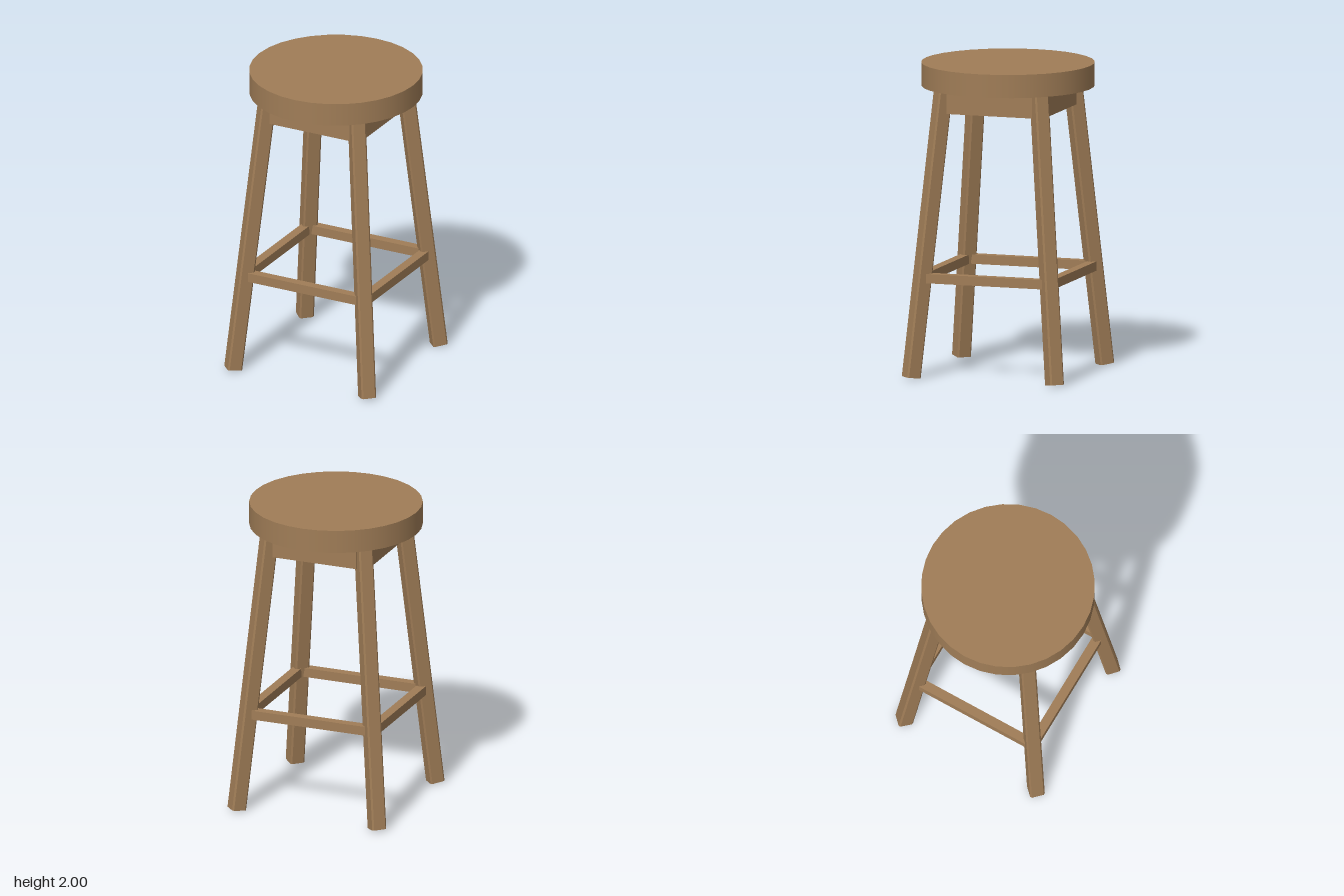
import * as THREE from 'three';

export function createModel() {
  const model = new THREE.Group();
  model.name = 'stool';
  const wood = new THREE.MeshStandardMaterial({ color: 0xa07d57 });
  wood.name = 'wood';

  const add = (name, geometry) => {
    const mesh = new THREE.Mesh(geometry, wood);
    mesh.name = name;
    model.add(mesh);
    return mesh;
  };

  // Round seat
  add('seat', new THREE.CylinderGeometry(0.555, 0.555, 0.15, 32)).position.y = 1.925;

  // Leg: square bar with chamfered long edges, leaning inward
  const h = 0.0485, c = 0.01, tilt = 0.123;
  const section = new THREE.Shape([
    [h, -h + c], [h, h - c], [h - c, h], [-h + c, h],
    [-h, h - c], [-h, -h + c], [-h + c, -h], [h - c, -h],
  ].map(([x, y]) => new THREE.Vector2(x, y)));
  const leg = new THREE.ExtrudeGeometry(section, { depth: 1.88, bevelEnabled: false });
  leg.rotateX(-Math.PI / 2).rotateZ(tilt).translate(0.686, h * Math.sin(tilt), 0);

  // Aprons under the seat and foot rungs, one per side
  const apron = new THREE.BoxGeometry(0.58, 0.14, 0.06).translate(0, 1.77, 0.331);
  const rung = new THREE.BoxGeometry(0.785, 0.06, 0.06).translate(0, 0.645, 0.431);

  const sides = ['front', 'left', 'back', 'right'];
  const corners = ['backLeft', 'backRight', 'frontRight', 'frontLeft'];
  for (let i = 0; i < 4; i++) {
    const turn = i * Math.PI / 2;
    add(corners[i] + 'Leg', leg).rotation.y = turn + Math.PI / 4;
    add(sides[i] + 'Apron', apron).rotation.y = turn;
    add(sides[i] + 'Rung', rung).rotation.y = turn;
  }
  return model;
}
